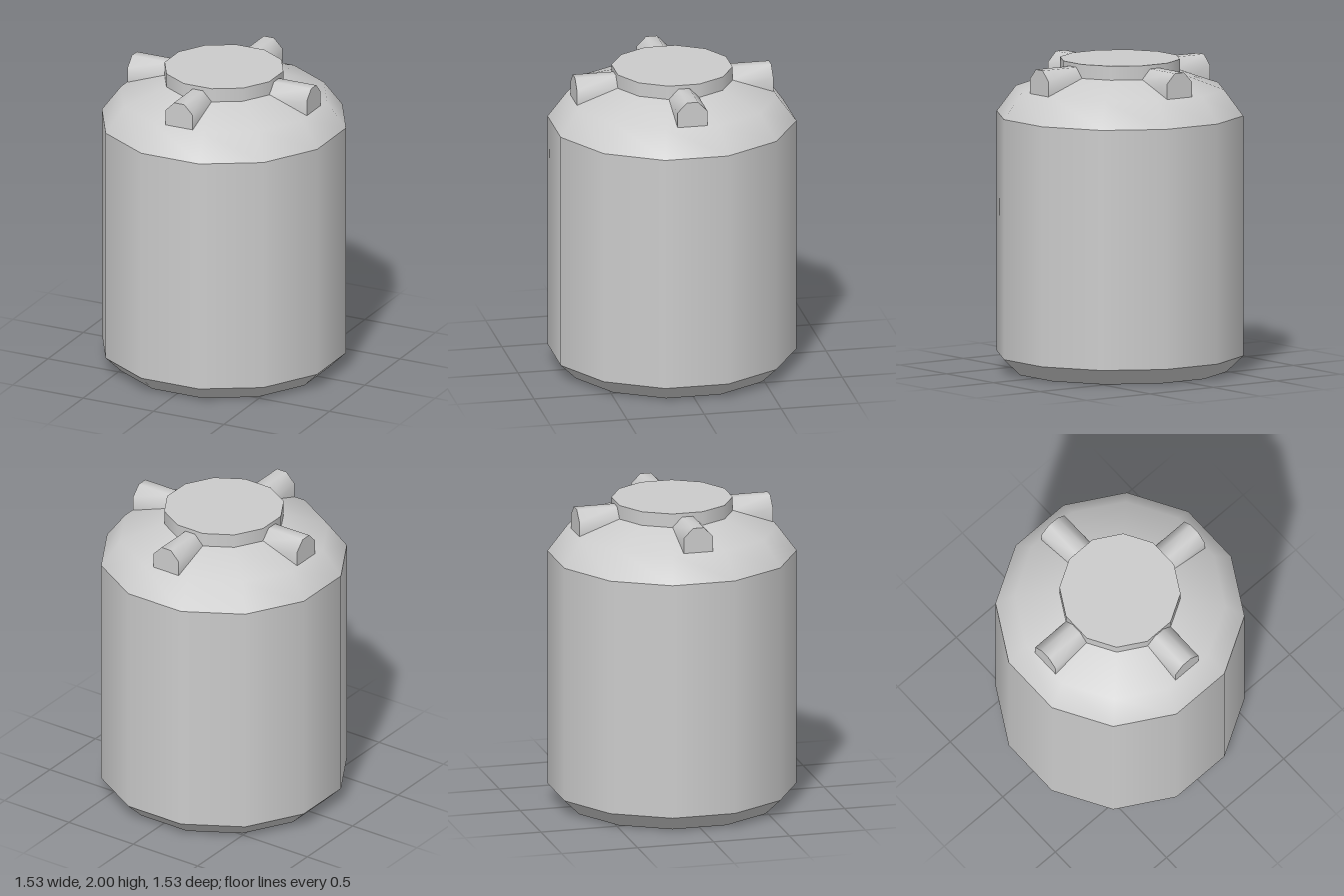
import * as THREE from 'three';
import { toCreasedNormals } from 'three/addons/utils/BufferGeometryUtils.js';

const SIDES = 12;
const TURN = Math.PI / SIDES; // puts flats on the x and z axes
const material = new THREE.MeshStandardMaterial({ color: 0xcccccc, side: THREE.DoubleSide });

function addMesh(parent, name, geometry) {
  const mesh = new THREE.Mesh(geometry, material);
  mesh.name = name;
  parent.add(mesh);
  return mesh;
}

// Twelve-sided ring surface; profile holds [distance to flat, height], bottom to top
function ring(profile) {
  const points = profile.map(([d, y]) => new THREE.Vector2(d / Math.cos(TURN), y));
  return new THREE.LatheGeometry(points, SIDES, TURN);
}

export function createModel() {
  const tank = new THREE.Group();
  tank.name = 'waterTank';

  // Shell, open at the bottom; separate rings keep their shared edges sharp
  addMesh(tank, 'foot', ring([[0.66, 0], [0.765, 0.105]]));
  addMesh(tank, 'wall', ring([[0.765, 0.105], [0.765, 1.645]]));
  addMesh(tank, 'shoulder', ring([[0.765, 1.645], [0.646, 1.81], [0.372, 1.91]]));

  // Lid
  addMesh(tank, 'lidRim', ring([[0.372, 1.91], [0.372, 2]]));
  const lidTop = new THREE.CircleGeometry(0.372 / Math.cos(TURN), SIDES, TURN);
  lidTop.rotateX(-Math.PI / 2).translate(0, 2, 0);
  addMesh(tank, 'lidTop', lidTop);

  // Four lifting ribs with chamfered tops
  const section = new THREE.Shape([
    [-0.097, 1.81], [0.097, 1.81], [0.097, 1.912],
    [0.036, 1.975], [-0.036, 1.975], [-0.097, 1.912],
  ].map(([x, y]) => new THREE.Vector2(x, y)));
  const rib = new THREE.ExtrudeGeometry(section, { depth: 0.268, bevelEnabled: false });
  rib.translate(0, 0, 0.369);
  const ribGeometry = toCreasedNormals(rib, 1.0);
  for (let i = 0; i < 4; i++) {
    addMesh(tank, 'rib' + (i + 1), ribGeometry).rotation.y = (i * Math.PI) / 2;
  }

  return tank;
}
